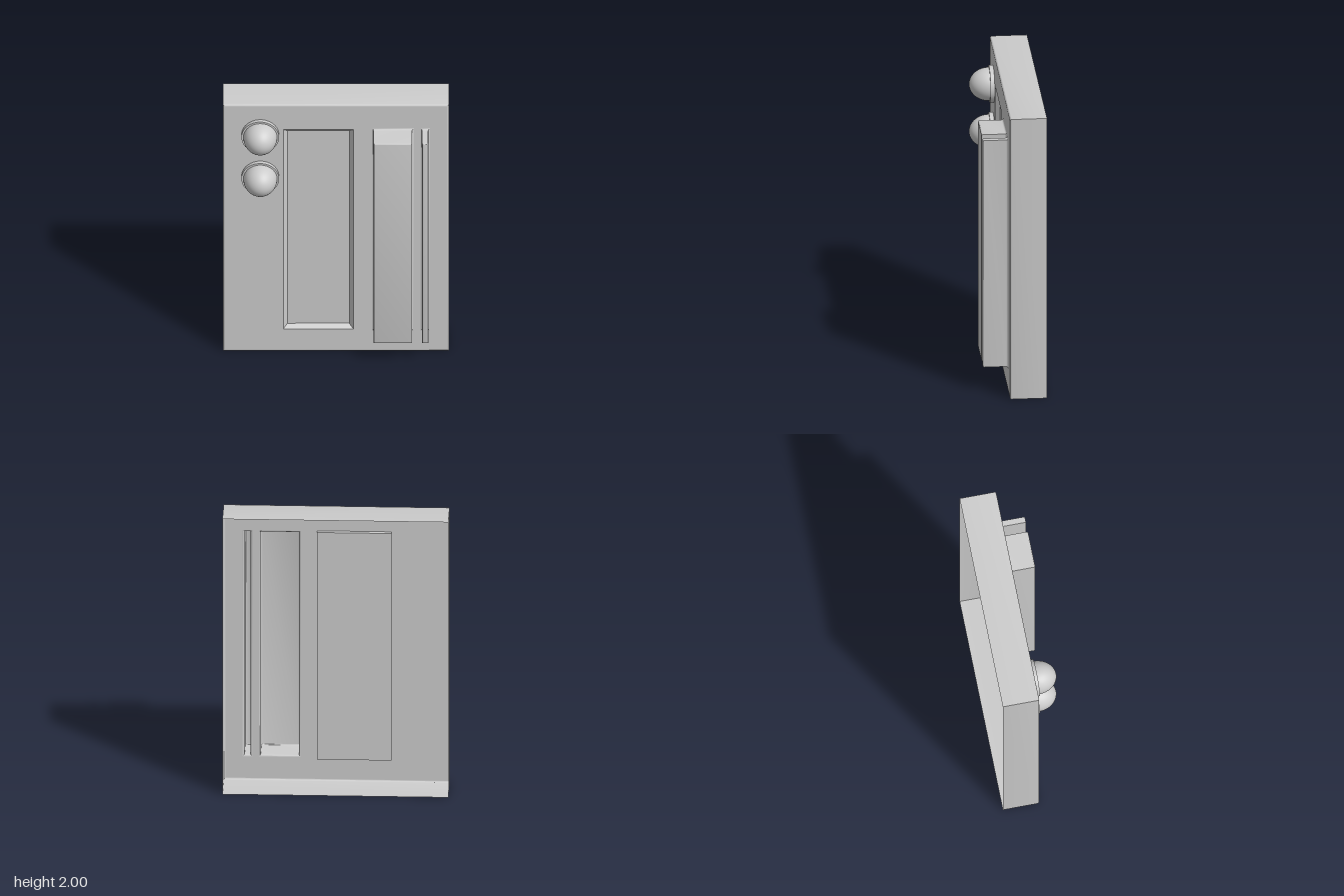
import * as THREE from 'three';
import { toCreasedNormals } from 'three/addons/utils/BufferGeometryUtils.js';

const FRONT = 0.037, BACK = -0.21, TIP = 0.205;
const material = new THREE.MeshStandardMaterial({ color: 0xcccccc, side: THREE.DoubleSide });

// Skin through rectangular sections [x0, x1, y0, y1, z], listed back to front
function loftRects(sections, cap) {
  const pos = [];
  const ring = ([x0, x1, y0, y1, z]) => [[x0, y0, z], [x1, y0, z], [x1, y1, z], [x0, y1, z]];
  const quad = (a, b, c, d) => pos.push(...a, ...b, ...c, ...a, ...c, ...d);
  for (let i = 0; i + 1 < sections.length; i++) {
    const a = ring(sections[i]), b = ring(sections[i + 1]);
    for (let k = 0; k < 4; k++) quad(a[k], a[(k + 1) % 4], b[(k + 1) % 4], b[k]);
  }
  if (cap) quad(...ring(sections[sections.length - 1]));
  const g = new THREE.BufferGeometry();
  g.setAttribute('position', new THREE.Float32BufferAttribute(pos, 3));
  g.computeVertexNormals();
  return toCreasedNormals(g, 0.6);
}

// Rectangle grown (or shrunk) by d at depth z
const grow = ([x0, x1, y0, y1], d, z) => [x0 - d, x1 + d, y0 - d, y1 + d, z];

// Sections of a front edge rounded with radius r
function roundedEdge(rect, r, z) {
  return [0, 1, 2, 3].map((i) => {
    const a = (i / 3) * Math.PI / 2;
    return grow(rect, -r * (1 - Math.cos(a)), z - r + r * Math.sin(a));
  });
}

// Sections of a concave fillet where a wall rises from the panel
function fillet(rect, r, z) {
  return [0, 1, 2, 3].map((i) => {
    const a = (i / 3) * Math.PI / 2;
    return grow(rect, r * (1 - Math.sin(a)), z + r * (1 - Math.cos(a)));
  });
}

function rectPath(target, [x0, x1, y0, y1]) {
  target.moveTo(x0, y0).lineTo(x1, y0).lineTo(x1, y1).lineTo(x0, y1).closePath();
  return target;
}

export function createModel() {
  const model = new THREE.Group();
  const add = (name, geometry, parent = model) => {
    const mesh = new THREE.Mesh(geometry, material);
    mesh.name = name;
    parent.add(mesh);
    return mesh;
  };

  const outer = [-0.75, 0.75, 0, 2];
  const recess = [-0.35, 0.115, 0.18, 1.8];
  const bars = { wideBar: [0.25, 0.505, 0.18, 1.8], narrowBar: [0.572, 0.612, 0.18, 1.8] };
  const edge = 0.012, flare = 0.012;

  // Open-backed housing walls
  add('housingWalls', loftRects([grow(outer, 0, BACK), ...roundedEdge(outer, edge, FRONT)], false));

  // Front panel, cut out for the recess and the hollow bars
  const panel = rectPath(new THREE.Shape(), grow(outer, -edge, 0));
  panel.holes.push(rectPath(new THREE.Path(), recess));
  for (const r of Object.values(bars)) panel.holes.push(rectPath(new THREE.Path(), grow(r, flare, 0)));
  add('frontPanel', new THREE.ShapeGeometry(panel).translate(0, 0, FRONT));

  // Shallow recess with bevelled sides and its backing plate
  const floorZ = FRONT - 0.028;
  add('recess', loftRects([grow(recess, 0, FRONT), grow(recess, -0.027, floorZ)], true));
  const plate = grow(recess, 0.015, 0);
  add('recessBacking', loftRects([grow(plate, 0, FRONT - 0.001), grow(plate, 0, floorZ - 0.001)], true));

  // Hollow vertical bars, open at the back
  for (const [name, r] of Object.entries(bars)) {
    add(name, loftRects([...fillet(r, flare, FRONT), ...roundedEdge(r, 0.008, TIP)], true));
  }

  // Two domed buttons on low collars
  for (const [name, y] of [['upperButton', 1.757], ['lowerButton', 1.42]]) {
    const button = new THREE.Group();
    button.name = name;
    button.position.set(-0.503, y, FRONT);
    const collar = new THREE.CylinderGeometry(0.125, 0.125, 0.028, 48, 1, true);
    add('collarSide', collar.rotateX(Math.PI / 2).translate(0, 0, 0.014), button);
    add('collarFace', new THREE.RingGeometry(0.111, 0.125, 48).translate(0, 0, 0.028), button);
    const dome = new THREE.SphereGeometry(0.112, 48, 16, 0, Math.PI * 2, 0, Math.PI / 2);
    add('dome', dome.rotateX(Math.PI / 2).scale(1, 1, 1.19).translate(0, 0, 0.028), button);
    model.add(button);
  }
  return model;
}
